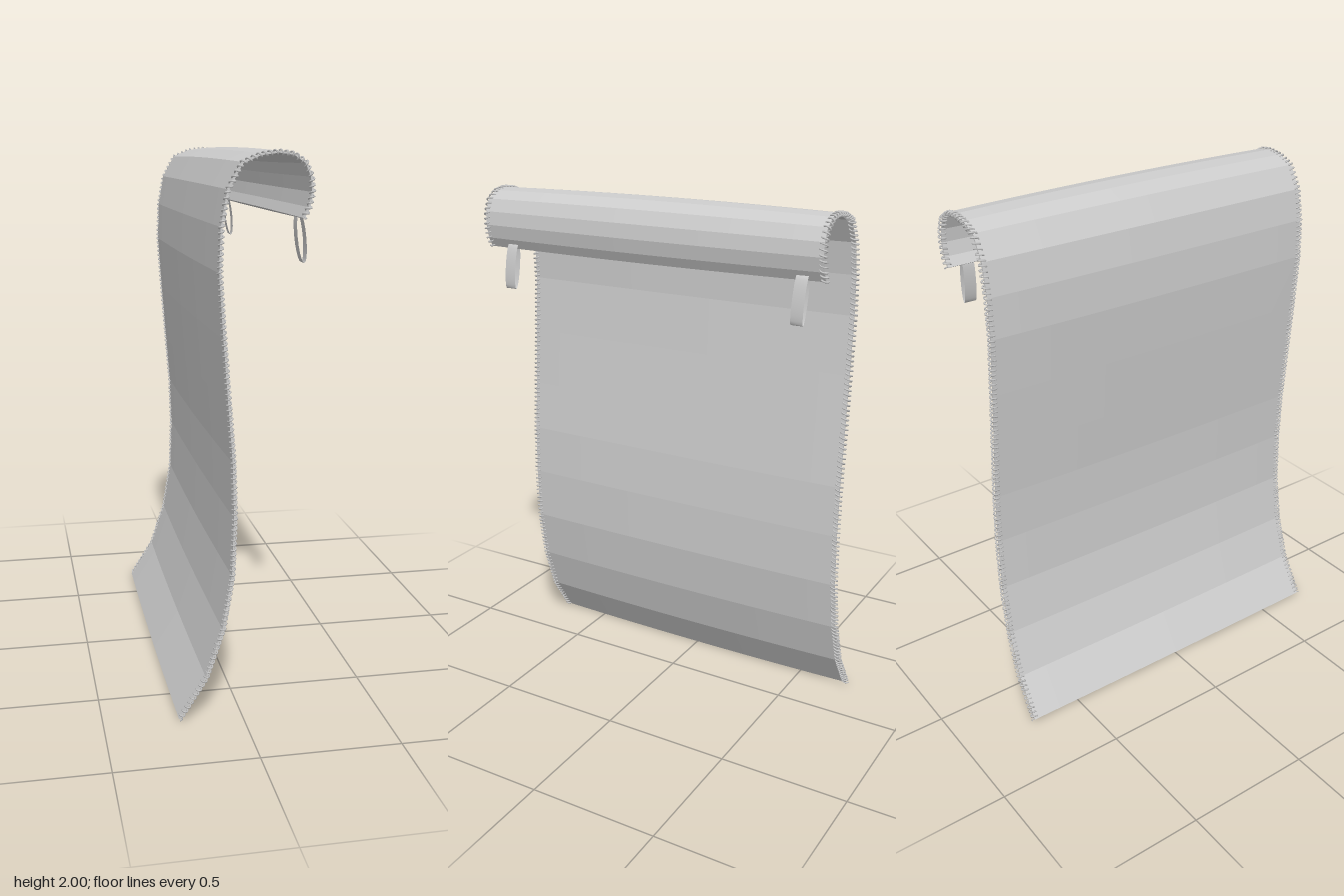
import * as THREE from 'three';

// Side profile of the hanging sheet, from the bottom hem up and over the curl
const PROFILE = [
  [-0.228, 0.007], [-0.13, 0.16], [-0.07, 0.34], [-0.037, 0.54], [-0.03, 0.75], [-0.036, 0.95],
  [-0.052, 1.15], [-0.07, 1.38], [-0.085, 1.6], [-0.08, 1.75], [-0.059, 1.87], [-0.012, 1.955],
  [0.05, 1.981], [0.11, 1.989], [0.16, 1.982], [0.2, 1.955], [0.22, 1.91], [0.225, 1.86],
  [0.214, 1.81], [0.195, 1.775],
].map(([x, y]) => new THREE.Vector2(x, y));

const NORMALS = PROFILE.map((p, i) => {
  const t = PROFILE[Math.min(i + 1, PROFILE.length - 1)].clone().sub(PROFILE[Math.max(i - 1, 0)]).normalize();
  return new THREE.Vector2(t.y, -t.x);
});

const HALF_WIDTH = 0.705;

// Closed sheet, slightly thicker in the middle than at its side edges
function sheetGeometry() {
  const steps = 12, m = 2 * (steps + 1);
  const pos = [], idx = [];
  PROFILE.forEach((p, i) => {
    for (let k = 0; k < m; k++) {
      const front = k <= steps;
      const u = ((front ? k : m - 1 - k) / steps) * 2 - 1;
      const h = (front ? 1 : -1) * (0.003 + 0.008 * (1 - u * u));
      pos.push(p.x + NORMALS[i].x * h, p.y + NORMALS[i].y * h, u * HALF_WIDTH);
    }
  });
  const rows = PROFILE.length;
  for (let i = 0; i < rows - 1; i++) {
    for (let k = 0; k < m; k++) {
      const a = i * m + k, b = i * m + (k + 1) % m;
      idx.push(a, a + m, b, b, a + m, b + m);
    }
  }
  // hems at both ends
  const last = (rows - 1) * m;
  for (let k = 0; k < steps; k++) {
    const f0 = k, f1 = k + 1, b0 = m - 1 - k, b1 = m - 2 - k;
    idx.push(f0, f1, b1, f0, b1, b0);
    idx.push(last + f0, last + b1, last + f1, last + f0, last + b0, last + b1);
  }
  const g = new THREE.BufferGeometry();
  g.setAttribute('position', new THREE.Float32BufferAttribute(pos, 3));
  g.setIndex(idx);
  g.computeVertexNormals();
  return g;
}

// Thread wound in a spiral around one side edge of the sheet
class EdgeStitch extends THREE.Curve {
  constructor(side, turns) {
    super();
    this.side = side;
    this.turns = turns;
    this.arcLengthDivisions = 2600;
    this.lengths = [0];
    for (let i = 1; i < PROFILE.length; i++) {
      this.lengths.push(this.lengths[i - 1] + PROFILE[i].distanceTo(PROFILE[i - 1]));
    }
  }

  getPoint(t, target = new THREE.Vector3()) {
    const L = this.lengths, s = t * L[L.length - 1];
    let i = 0;
    while (i < L.length - 2 && L[i + 1] < s) i++;
    const f = (s - L[i]) / (L[i + 1] - L[i]);
    const p = PROFILE[i].clone().lerp(PROFILE[i + 1], f);
    const n = NORMALS[i].clone().lerp(NORMALS[i + 1], f).normalize();
    const a = t * this.turns * Math.PI * 2;
    p.addScaledVector(n, 0.008 * Math.sin(a));
    return target.set(p.x, p.y, this.side * (0.702 + 0.014 * Math.cos(a)));
  }
}

// Thin band bent into a narrow upright loop
function loopGeometry() {
  const g = new THREE.CylinderGeometry(1, 1, 0.046, 20, 1, true);
  g.rotateX(Math.PI / 2);
  g.scale(0.015, 0.087, 1);
  const p = g.attributes.position;
  for (let i = 0; i < p.count; i++) {
    const y = p.getY(i);
    p.setX(i, p.getX(i) - y * 0.1);
    p.setZ(i, p.getZ(i) - y * 0.05);
  }
  g.computeVertexNormals();
  return g;
}

export function createModel() {
  const model = new THREE.Group();
  model.name = 'hangingSheet';
  const flat = new THREE.MeshStandardMaterial({ color: 0xcccccc, flatShading: true, side: THREE.DoubleSide });
  const smooth = new THREE.MeshStandardMaterial({ color: 0xcccccc, side: THREE.DoubleSide });

  const add = (name, geometry, material) => {
    const mesh = new THREE.Mesh(geometry, material);
    mesh.name = name;
    model.add(mesh);
    return mesh;
  };

  add('sheet', sheetGeometry(), flat);

  for (const [side, label] of [[1, 'front'], [-1, 'back']]) {
    add(label + 'EdgeStitching', new THREE.TubeGeometry(new EdgeStitch(side, 130), 1300, 0.0035, 4), smooth);
    // hanging loop under the curled edge
    add(label + 'Loop', loopGeometry(), smooth).position.set(0.214, 1.706, side > 0 ? 0.597 : -0.62);
  }
  return model;
}
